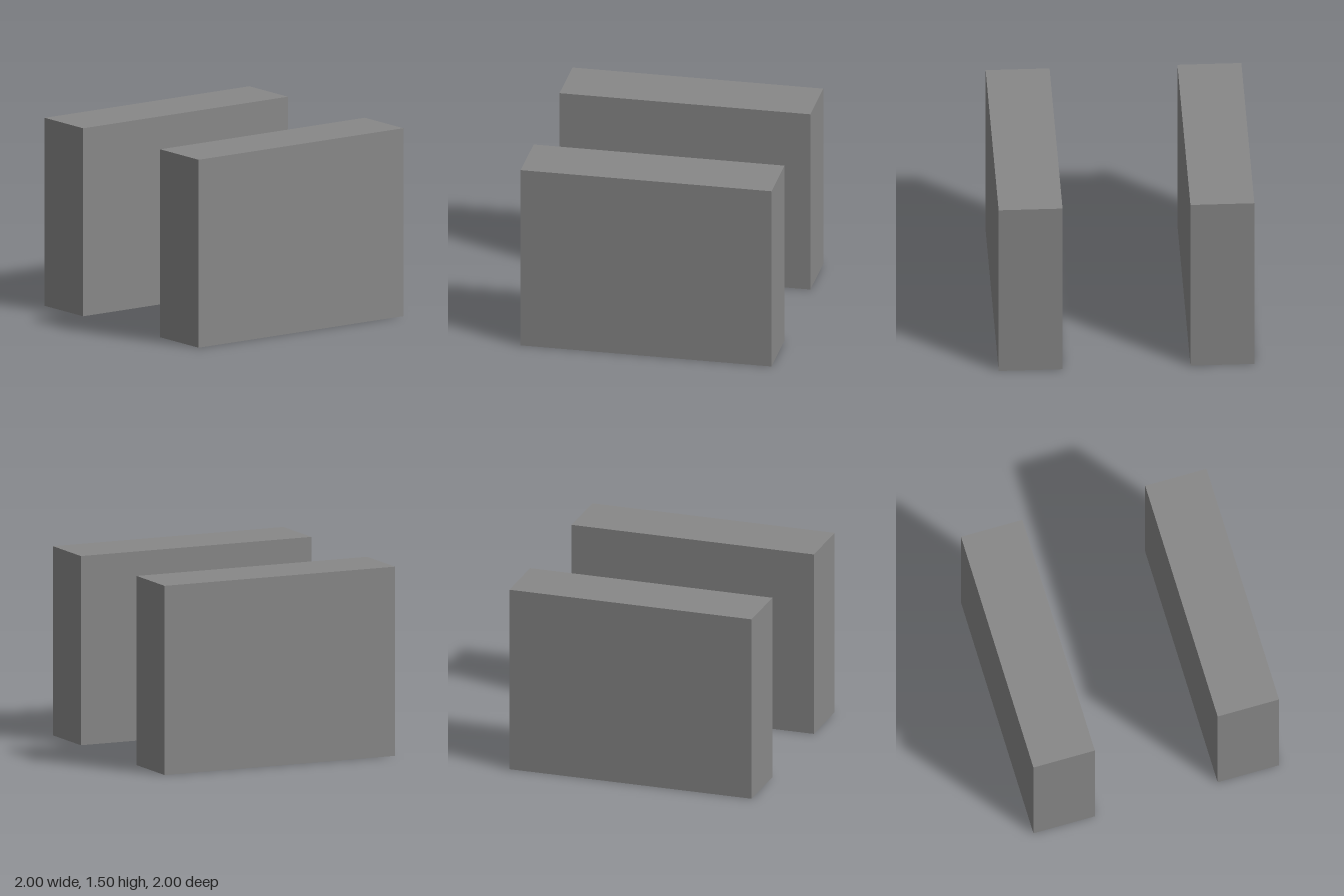
import * as THREE from 'three';

const WIDTH = 2, HEIGHT = 1.5, DEPTH = 0.5, OFFSET = 0.75;

export function createModel() {
  const model = new THREE.Group();
  model.name = 'parallelSlabs';
  const material = new THREE.MeshStandardMaterial({ color: 0x888888 });
  const geometry = new THREE.BoxGeometry(WIDTH, HEIGHT, DEPTH);

  // Two matching upright slabs, mirrored front to back
  for (const [name, side] of [['frontSlab', 1], ['backSlab', -1]]) {
    const slab = new THREE.Mesh(geometry, material);
    slab.name = name;
    slab.position.set(0, HEIGHT / 2, side * OFFSET);
    model.add(slab);
  }
  return model;
}
